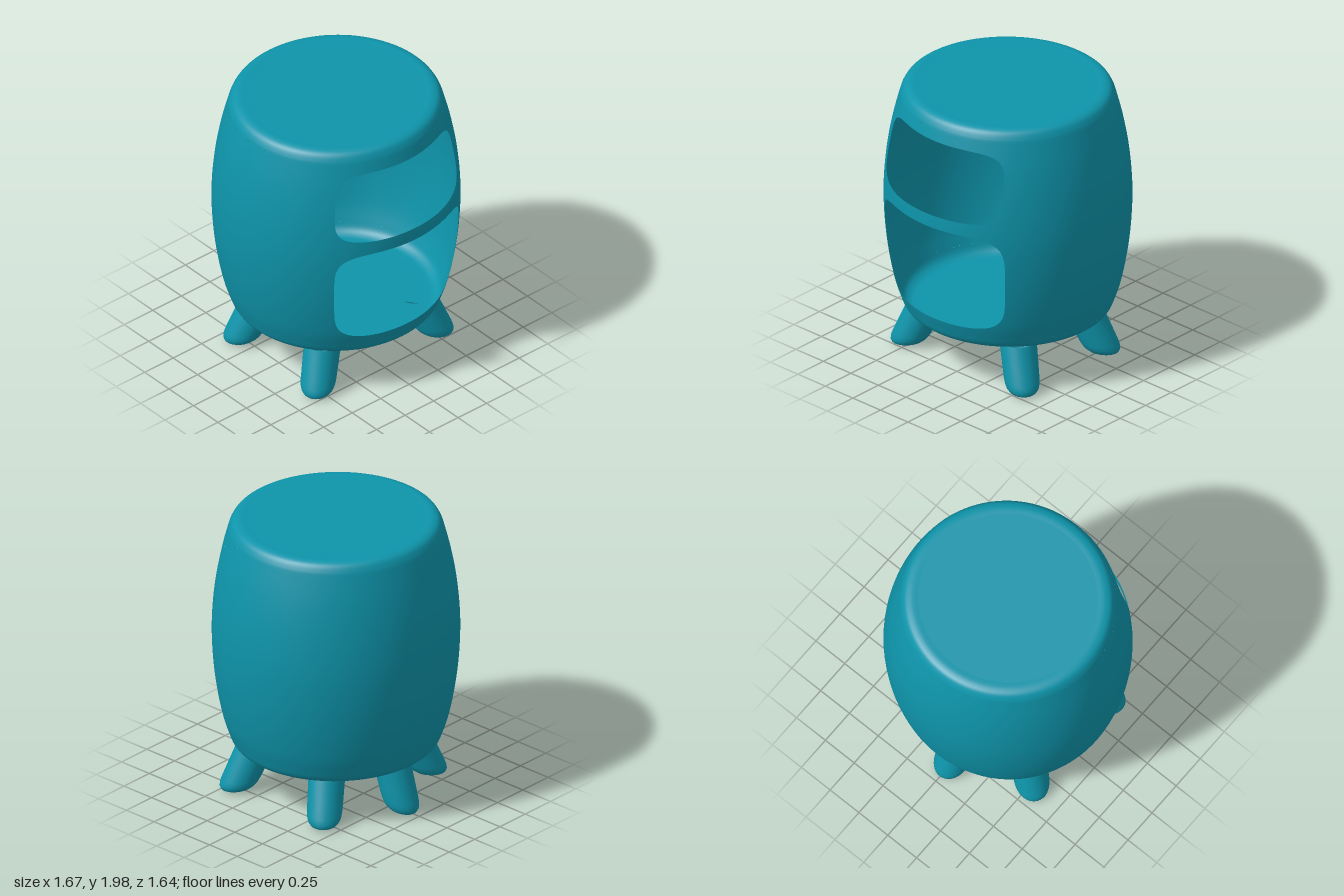
import * as THREE from 'three';
import { mergeVertices } from 'three/addons/utils/BufferGeometryUtils.js';

const teal = new THREE.MeshStandardMaterial({ color: 0x0e94aa, side: THREE.DoubleSide });
teal.name = 'teal';
const black = new THREE.MeshStandardMaterial({ color: 0x141618, side: THREE.DoubleSide });
black.name = 'black';

const FLOOR = 0.35, TOP = 2;

// Barrel profile as radius and height, from floor rim to top rim
const profile = new THREE.SplineCurve([
  [0.6, FLOOR], [0.655, 0.355], [0.7, 0.385], [0.728, 0.45], [0.765, 0.57], [0.802, 0.76],
  [0.826, 0.96], [0.836, 1.17], [0.829, 1.36], [0.808, 1.55], [0.775, 1.73], [0.732, 1.9],
  [0.715, 1.95], [0.69, 1.985], [0.65, TOP], [0.6, TOP],
].map(([r, y]) => new THREE.Vector2(r, y)));

// Position along the profile at a given height
function atHeight(y) {
  let a = 0, b = 1;
  for (let i = 0; i < 30; i++) {
    const m = (a + b) / 2;
    if (profile.getPoint(m).y < y) a = m; else b = m;
  }
  return (a + b) / 2;
}

// Grid patch on the barrel; f(u, v) gives [angle, profile position]
function patch(name, nu, nv, f) {
  const pos = [], nor = [], idx = [];
  for (let j = 0; j <= nv; j++) {
    for (let i = 0; i <= nu; i++) {
      const [a, s] = f(i / nu, j / nv);
      const p = profile.getPoint(s), t = profile.getTangent(s);
      pos.push(p.x * Math.sin(a), p.y, p.x * Math.cos(a));
      nor.push(t.y * Math.sin(a), -t.x, t.y * Math.cos(a));
      if (i < nu && j < nv) {
        const k = j * (nu + 1) + i, m = k + nu + 1;
        idx.push(k, k + 1, m + 1, k, m + 1, m);
      }
    }
  }
  const g = new THREE.BufferGeometry();
  g.setAttribute('position', new THREE.Float32BufferAttribute(pos, 3));
  g.setAttribute('normal', new THREE.Float32BufferAttribute(nor, 3));
  g.setIndex(idx);
  return named(name, g, teal);
}

function named(name, geometry, material) {
  const m = new THREE.Mesh(geometry, material);
  m.name = name;
  return m;
}

// Panel around one rounded opening: rings blend a rectangle into the opening
function openingPanel(name, yLow, yHigh, openLow, openHigh, side, openSide) {
  const n = 5;
  return patch(name, 128, 8, (u, v) => {
    const q = (u * 4) % 4, k = Math.floor(q), e = 2 * (q - k) - 1;
    const [px, py] = [[e, -1], [1, e], [-e, 1], [-1, -e]][k];
    const d = Math.pow(Math.abs(px) ** n + Math.abs(py) ** n, 1 / n);
    const lerp = THREE.MathUtils.lerp;
    const a = lerp(px * side, (px / d) * openSide, v);
    const y = lerp((yLow + yHigh) / 2 + py * (yHigh - yLow) / 2,
      (openLow + openHigh) / 2 + (py / d) * (openHigh - openLow) / 2, v);
    return [a, atHeight(y)];
  });
}

// Hollow leg leaning outwards, cut level at the floor, with a slanted black foot
function makeLeg(name, topX, topZ, footX, footZ) {
  const foot = new THREE.Vector3(footX, 0.035, footZ);
  const axis = new THREE.Vector3(topX, FLOOR, topZ).sub(foot);
  const length = axis.length();
  axis.normalize();
  const inward = new THREE.Vector3(topX - footX, 0, topZ - footZ).normalize();
  const xAxis = new THREE.Vector3().crossVectors(axis, inward).normalize();
  const zAxis = new THREE.Vector3().crossVectors(xAxis, axis);
  const footSlope = 0.55, topSlope = -zAxis.y / axis.y;

  const slant = (g) => {
    const p = g.attributes.position;
    for (let i = 0; i < p.count; i++) {
      const t = p.getY(i) / length;
      p.setY(i, p.getY(i) + p.getZ(i) * THREE.MathUtils.lerp(footSlope, topSlope, t));
    }
    return g;
  };

  const points = [[0.078, 0], [0.095, 0.008], [0.108, 0.026], [0.115, 0.05], [0.118, 0.08],
    [0.12, 0.16], [0.124, length]].map(([r, y]) => new THREE.Vector2(r, y));
  let tube = new THREE.LatheGeometry(points, 32);
  tube.deleteAttribute('uv');
  tube.deleteAttribute('normal');
  tube = mergeVertices(slant(tube), 1e-4);
  tube.computeVertexNormals();

  const pad = slant(new THREE.CircleGeometry(0.079, 32).rotateX(Math.PI / 2));
  pad.computeVertexNormals();

  const leg = new THREE.Group();
  leg.name = name;
  leg.add(named('legTube', tube, teal), named('footPad', pad, black));
  leg.applyMatrix4(new THREE.Matrix4().makeBasis(xAxis, axis, zAxis).setPosition(foot));
  return leg;
}

export function createModel() {
  const model = new THREE.Group();
  model.name = 'barrelCabinet';

  const body = new THREE.Group();
  body.name = 'body';
  body.scale.z = 0.983;
  model.add(body);

  // Barrel wall, left open at the front for the panels
  const low = 0.43, middle = 1.295, high = 1.92, side = 0.85;
  const sLow = atHeight(low), sHigh = atHeight(high);
  body.add(
    patch('lowerRim', 96, 14, (u, v) => [u * Math.PI * 2, v * sLow]),
    patch('upperRim', 96, 14, (u, v) => [u * Math.PI * 2, sHigh + v * (1 - sHigh)]),
    patch('wall', 72, 40, (u, v) => [side + u * 2 * (Math.PI - side), sLow + v * (sHigh - sLow)]),
    openingPanel('lowerOpening', low, middle, 0.515, 1.25, side, 0.715),
    openingPanel('upperOpening', middle, high, 1.34, 1.85, side, 0.71),
  );

  // Flat top
  const top = named('top', new THREE.CircleGeometry(0.601, 96).rotateX(-Math.PI / 2), teal);
  top.position.y = TOP;
  body.add(top);

  // Legs: top x, z then foot x, z
  const legs = [
    ['frontLeftLeg', 0.405, 0.34, 0.525, 0.42],
    ['frontRightLeg', -0.405, 0.34, -0.525, 0.42],
    ['sideLeftLeg', 0.405, -0.29, 0.525, -0.37],
    ['sideRightLeg', -0.405, -0.29, -0.525, -0.37],
    ['backLeg', 0, -0.5, 0, -0.6],
  ];

  // Floor, pierced above every hollow leg
  const outline = new THREE.Shape().absarc(0, 0, 0.601, 0, Math.PI * 2, false);
  for (const [name, x, z, fx, fz] of legs) {
    model.add(makeLeg(name, x, z, fx, fz));
    outline.holes.push(new THREE.Path().absarc(x, z, 0.122, 0, Math.PI * 2, true));
  }
  const floor = named('floor', new THREE.ShapeGeometry(outline, 48).rotateX(Math.PI / 2), teal);
  floor.position.y = FLOOR;
  body.add(floor);

  return model;
}
